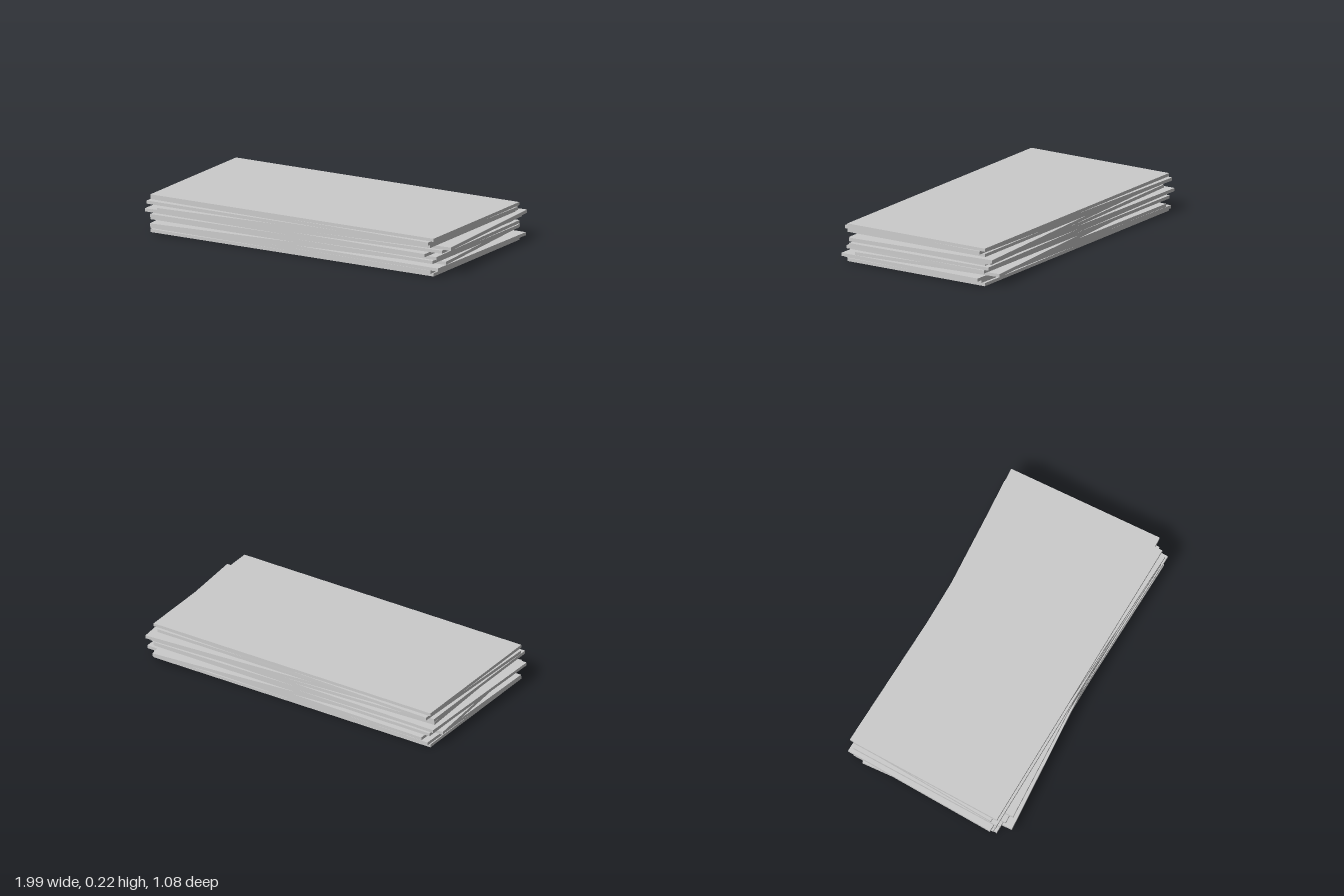
import * as THREE from 'three';

// Each sheet from bottom to top: [x offset, z offset, turn about y]
const SHEETS = [
  [-0.0165, 0.001, 0],
  [-0.017, 0.001, -0.0187],
  [0.028, 0.001, -0.0155],
  [-0.015, 0.001, 0.081],
  [-0.0165, 0.001, -0.006],
  [-0.0165, 0.001, 0.0187],
  [-0.055, 0.001, -0.0187],
  [-0.0015, 0.001, 0.04],
  [0.032, 0.001, 0.065],
  [-0.035, 0.011, 0],
  [-0.02, 0.001, -0.031],
  [-0.0165, 0.001, 0],
];
const WIDTH = 1.87;
const DEPTH = 0.935;
const THICKNESS = 0.0184;

export function createModel() {
  const stack = new THREE.Group();
  stack.name = 'sheetStack';
  const material = new THREE.MeshStandardMaterial({ color: 0xcccccc });
  const geometry = new THREE.BoxGeometry(WIDTH, THICKNESS, DEPTH);

  // Loosely piled flat sheets, each slightly shifted and turned
  SHEETS.forEach(([x, z, turn], i) => {
    const sheet = new THREE.Mesh(geometry, material);
    sheet.name = `sheet${i + 1}`;
    sheet.position.set(x, (i + 0.5) * THICKNESS, z);
    sheet.rotation.y = turn;
    stack.add(sheet);
  });
  return stack;
}
